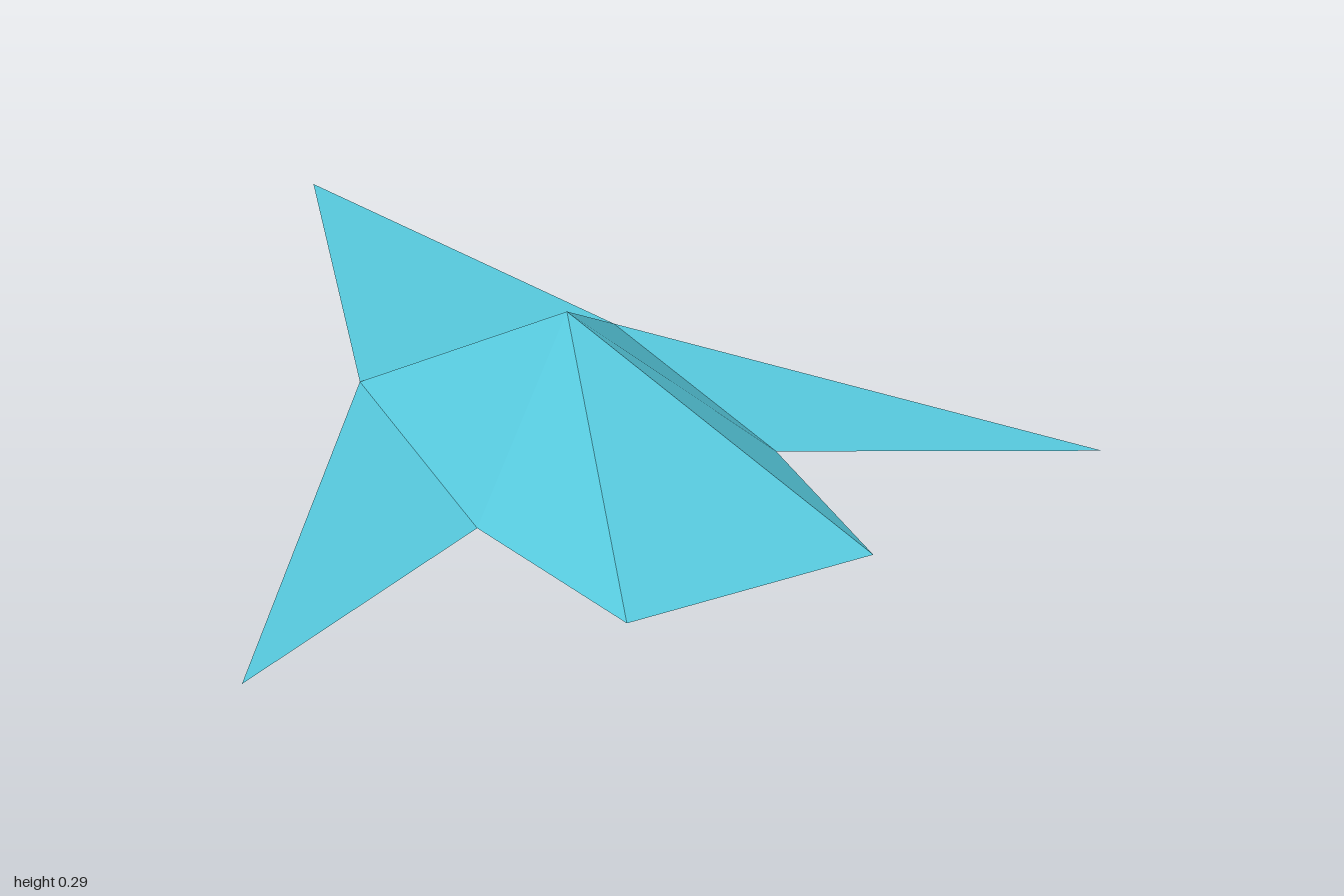
import * as THREE from 'three';

// Folded-paper dart: open shell body, two swept wings and a tail fin
export function createModel() {
  const model = new THREE.Group();
  model.name = 'paperBird';
  const paper = new THREE.MeshStandardMaterial({ color: 0x56c8dc, side: THREE.DoubleSide, flatShading: true });
  paper.name = 'turquoise paper';

  // Fold points, given for the +x side
  const apex = [0, 0.295, 0.27];
  const nose = [0.27, 0.03, 1];
  const elbow = [0.343, 0.017, 0.54];
  const shoulder = [0.308, 0.053, -0.075];
  const wingTip = [0.957, 0, 0.82];
  const tailTip = [0, 0.1, -1];
  const mirror = ([x, y, z]) => [-x, y, z];

  // Sheet made of separate flat triangles
  function addSheet(name, ...triangles) {
    const geometry = new THREE.BufferGeometry();
    geometry.setAttribute('position', new THREE.Float32BufferAttribute(triangles.flat(2), 3));
    geometry.computeVertexNormals();
    const mesh = new THREE.Mesh(geometry, paper);
    mesh.name = name;
    model.add(mesh);
  }

  // Mirrored sheet pair; the corner order is reversed on the -x side
  function addPair(name, ...triangles) {
    addSheet('left' + name, ...triangles);
    addSheet('right' + name, ...triangles.map((t) => t.map(mirror).reverse()));
  }

  addSheet('noseFace', [apex, mirror(nose), nose]);
  addPair('BodySide', [apex, nose, elbow], [apex, elbow, shoulder]);
  addPair('Wing', [shoulder, elbow, wingTip]);
  addSheet('tail', [tailTip, mirror(shoulder), shoulder]);

  return model;
}
